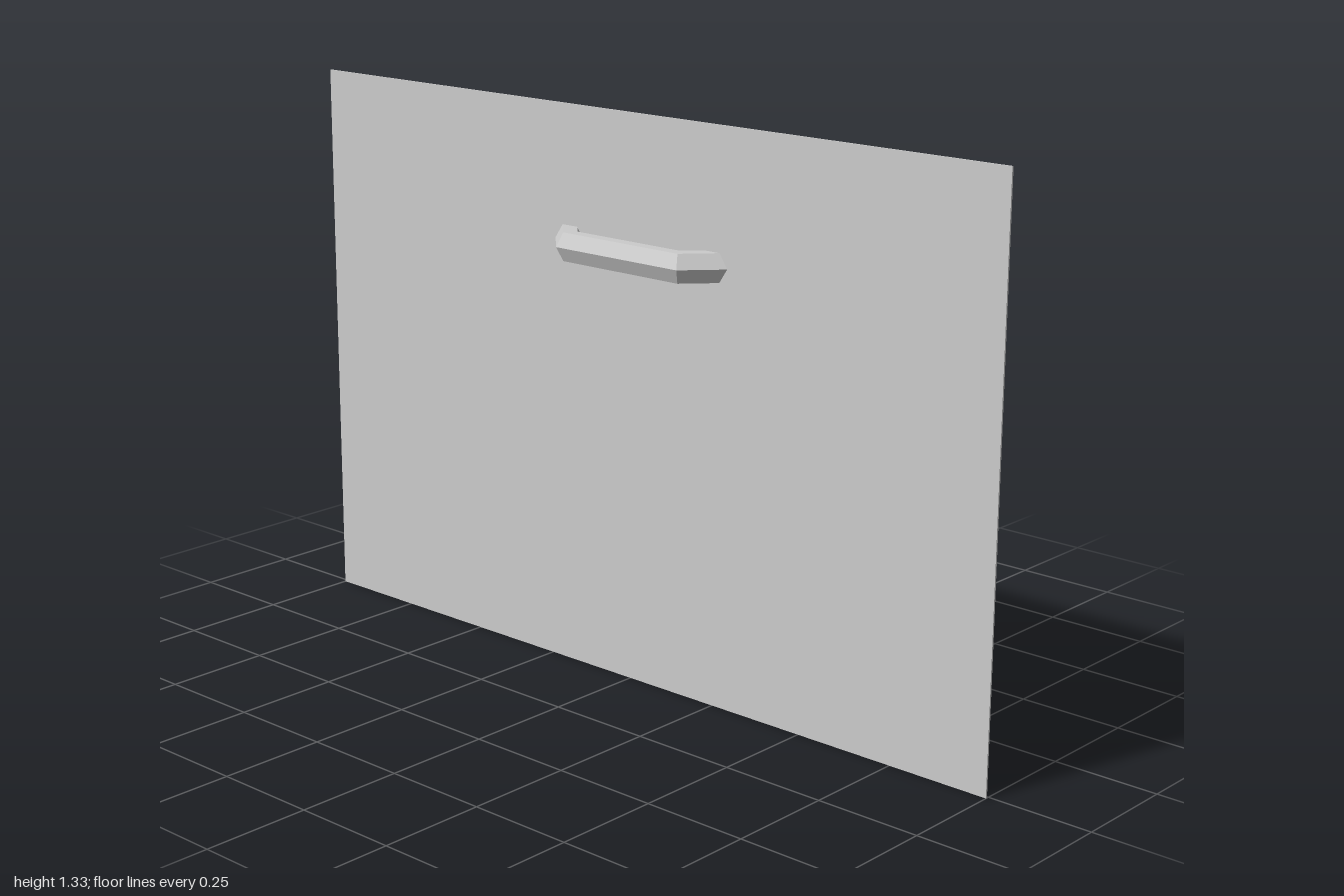
import * as THREE from 'three';

const material = () => new THREE.MeshStandardMaterial({ color: 0xcccccc, flatShading: true });

// Hexagonal bar swept through mitred stations, each given by its outer and inner ridge [x, z]
function hexBar(stations, y, halfHeight) {
  const sides = 6;
  const rings = stations.map(([outer, inner]) =>
    Array.from({ length: sides }, (_, k) => {
      const a = (k / sides) * Math.PI * 2;
      const t = (1 - Math.cos(a)) / 2;
      return new THREE.Vector3(
        THREE.MathUtils.lerp(outer[0], inner[0], t),
        y - (Math.sin(a) / Math.sin(Math.PI / 3)) * halfHeight,
        THREE.MathUtils.lerp(outer[1], inner[1], t)
      );
    })
  );
  const points = [];
  for (let i = 0; i < rings.length - 1; i++) {
    for (let k = 0; k < sides; k++) {
      const n = (k + 1) % sides;
      const a = rings[i][k], b = rings[i][n], c = rings[i + 1][n], d = rings[i + 1][k];
      points.push(a, b, c, a, c, d);
    }
  }
  // End caps
  const first = rings[0], last = rings[rings.length - 1];
  for (let k = 1; k < sides - 1; k++) {
    points.push(first[0], first[k + 1], first[k], last[0], last[k], last[k + 1]);
  }
  const geometry = new THREE.BufferGeometry().setFromPoints(points);
  geometry.computeVertexNormals();
  return geometry;
}

export function createModel() {
  const model = new THREE.Group();
  model.name = 'panelWithHandle';

  // Thin front panel, leaning back very slightly
  const height = 1.325;
  const panel = new THREE.Mesh(new THREE.BoxGeometry(2, height, 0.004), material());
  panel.name = 'panel';
  panel.position.set(0, height / 2, 0.005);
  panel.rotation.x = -0.003;
  model.add(panel);

  // Bent pull handle whose two arms pass through the panel
  const handle = new THREE.Mesh(
    hexBar(
      [
        [[-0.281, -0.042], [-0.235, -0.087]],
        [[-0.155, 0.086], [-0.117, 0.031]],
        [[0.205, 0.086], [0.17, 0.031]],
        [[0.32, -0.036], [0.275, -0.081]],
      ],
      1.014,
      0.033
    ),
    material()
  );
  handle.name = 'handle';
  model.add(handle);

  return model;
}
